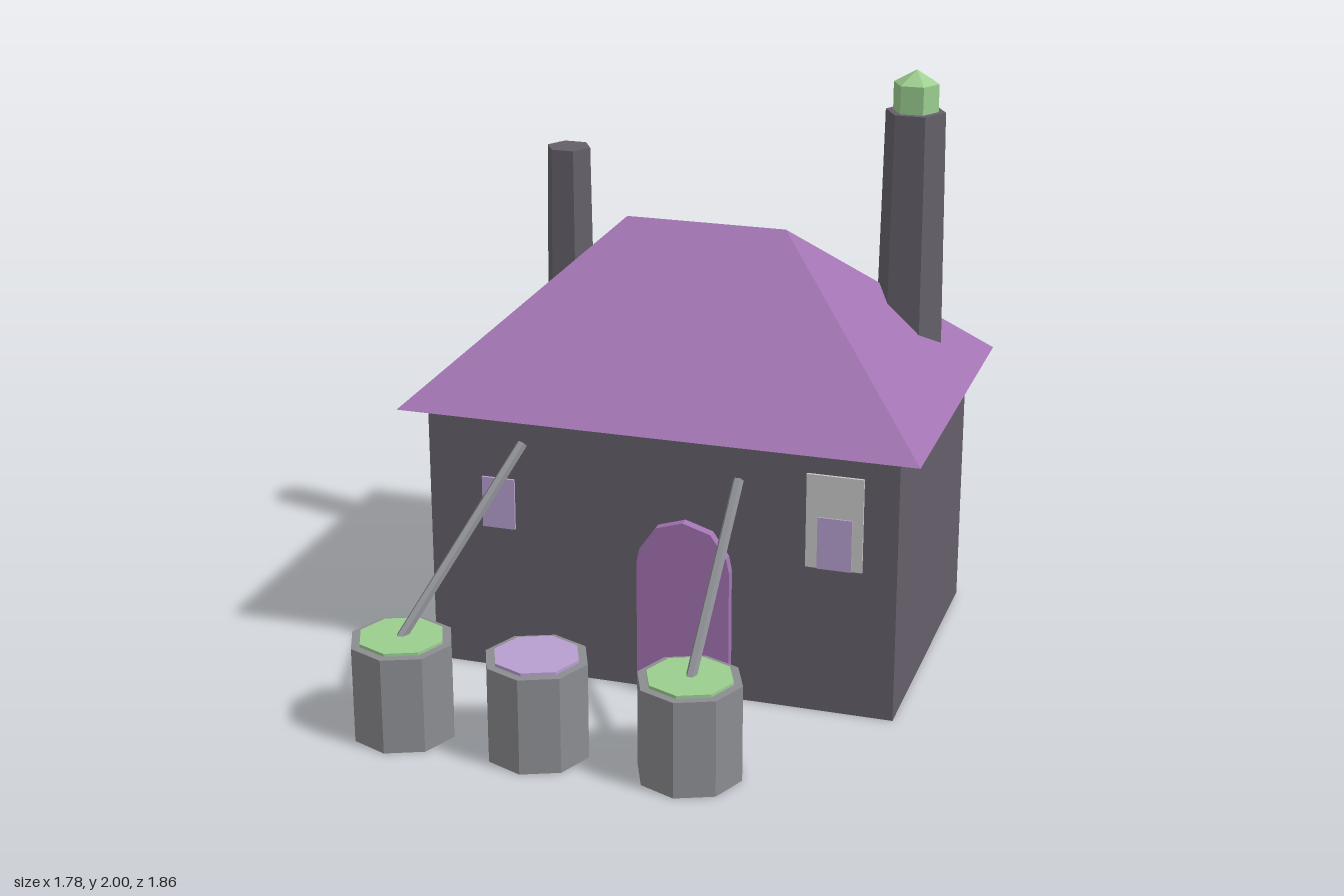
import * as THREE from 'three';

const mat = (name, color) => {
  const m = new THREE.MeshStandardMaterial({ color, flatShading: true });
  m.name = name;
  return m;
};

export function createModel() {
  const stone = mat('dark stone', 0x645f69);
  const purple = mat('purple', 0xa274b2);
  const green = mat('green', 0x9bcd8f);
  const lavender = mat('lavender', 0xb79fd0);
  const grey = mat('grey', 0x8b8c91);
  const pale = mat('pale frame', 0xcacaca);

  const model = new THREE.Group();
  model.name = 'cottage';
  const add = (name, geometry, material, x = 0, y = 0, z = 0, parent = model) => {
    const mesh = new THREE.Mesh(geometry, material);
    mesh.name = name;
    mesh.position.set(x, y, z);
    parent.add(mesh);
    return mesh;
  };
  // Upright prism with its corners on the x axis
  const prism = (rTop, rBottom, height, sides) =>
    new THREE.CylinderGeometry(rTop, rBottom, height, sides).rotateY(sides === 6 ? Math.PI / 6 : 0);

  // House body
  add('walls', new THREE.BoxGeometry(1.62, 0.935, 1.065), stone, 0, 0.4675, -0.3125);

  // Hipped roof: a box whose top is squeezed into the ridge
  const roof = new THREE.BoxGeometry(1.78, 0.555, 1.23).toNonIndexed();
  const p = roof.attributes.position;
  for (let i = 0; i < p.count; i++) {
    if (p.getY(i) > 0) p.setXYZ(i, Math.sign(p.getX(i)) * 0.28, p.getY(i), 0);
  }
  roof.computeVertexNormals();
  add('roof', roof, purple, 0, 1.2125, -0.315);

  // Chimneys
  add('tallChimney', prism(0.103, 0.117, 0.91, 6), stone, 0.65, 1.405, -0.595);
  add('chimneyPot', prism(0.078, 0.078, 0.095, 6), green, 0.65, 1.9075, -0.595);
  add('chimneyPotCap', prism(0, 0.078, 0.045, 6), green, 0.65, 1.9775, -0.595);
  add('shortChimney', prism(0.08, 0.09, 0.68, 6), stone, -0.608, 1.29, -0.645);

  // Arched door
  const arch = [[-0.16, 0], [0.16, 0], [0.16, 0.47], [0.15, 0.52], [0.095, 0.6],
    [0, 0.63], [-0.095, 0.6], [-0.15, 0.52], [-0.16, 0.47]];
  const doorShape = new THREE.Shape(arch.map(([x, y]) => new THREE.Vector2(x, y)));
  add('door', new THREE.ExtrudeGeometry(doorShape, { depth: 0.04, bevelEnabled: false }),
    purple, 0.095, 0, 0.215);

  // Windows
  add('smallWindow', new THREE.BoxGeometry(0.115, 0.18, 0.009), lavender, -0.5625, 0.61, 0.2245);
  add('windowFrame', new THREE.BoxGeometry(0.19, 0.325, 0.009), pale, 0.6, 0.6825, 0.2245);
  add('windowPane', new THREE.BoxGeometry(0.115, 0.18, 0.006), lavender, 0.6025, 0.61, 0.232);

  // Dye vats
  const vats = [['leftVat', 0.275, green], ['middleVat', -0.235, lavender], ['rightVat', -0.7, green]];
  for (const [name, x, dye] of vats) {
    const vat = new THREE.Group();
    vat.name = name;
    vat.position.set(x, 0, 0.755);
    model.add(vat);
    add('tub', prism(0.173, 0.173, 0.33, 8), grey, 0, 0.165, 0, vat);
    add('dye', prism(0.143, 0.143, 0.02, 8), dye, 0, 0.33, 0, vat);
  }

  // Stirring poles leaning on the front wall
  const poles = [
    ['leftPole', [0.277, 0.325, 0.757], [0.277, 0.795, 0.228]],
    ['rightPole', [-0.705, 0.325, 0.757], [-0.472, 0.835, 0.228]],
  ];
  for (const [name, a, b] of poles) {
    const from = new THREE.Vector3(...a), to = new THREE.Vector3(...b);
    const mid = from.clone().add(to).multiplyScalar(0.5);
    const pole = add(name, prism(0.018, 0.018, from.distanceTo(to), 6), grey, mid.x, mid.y, mid.z);
    pole.quaternion.setFromUnitVectors(new THREE.Vector3(0, 1, 0), to.sub(from).normalize());
  }
  return model;
}
